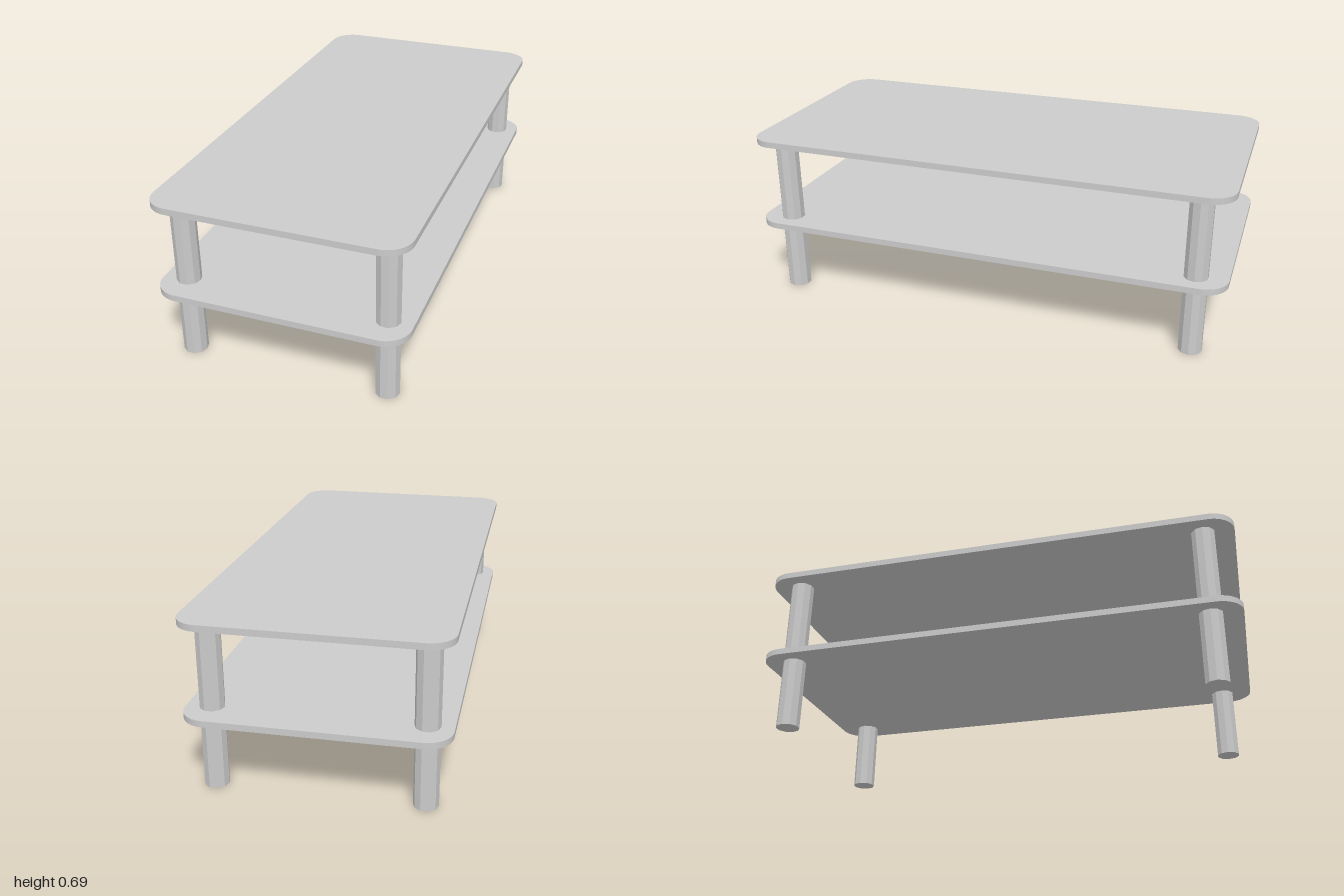
import * as THREE from 'three';

const material = new THREE.MeshStandardMaterial({ color: 0xcccccc, flatShading: true });

// Thin horizontal board with rounded corners, resting at height y
function createBoard(name, y) {
  const w = 0.497, d = 1, r = 0.1, thickness = 0.025;
  const shape = new THREE.Shape();
  shape.absarc(w - r, d - r, r, 0, Math.PI / 2);
  shape.absarc(-w + r, d - r, r, Math.PI / 2, Math.PI);
  shape.absarc(-w + r, -d + r, r, Math.PI, Math.PI * 1.5);
  shape.absarc(w - r, -d + r, r, Math.PI * 1.5, Math.PI * 2);
  shape.closePath();
  const geometry = new THREE.ExtrudeGeometry(shape, { depth: thickness, bevelEnabled: false, curveSegments: 10 });
  geometry.rotateX(-Math.PI / 2);
  const board = new THREE.Mesh(geometry, material);
  board.name = name;
  board.position.y = y;
  return board;
}

export function createModel() {
  const table = new THREE.Group();
  table.name = 'coffeeTable';
  table.add(createBoard('tableTop', 0.665), createBoard('lowerShelf', 0.297));

  // Ten-sided legs running from the floor through the shelf to the top
  const height = 0.665;
  const legGeometry = new THREE.CylinderGeometry(0.048, 0.048, height, 10, 1, false, Math.PI / 2);
  for (const [zName, z] of [['front', 0.875], ['back', -0.875]]) {
    for (const [xName, x] of [['Left', 0.4], ['Right', -0.4]]) {
      const leg = new THREE.Mesh(legGeometry, material);
      leg.name = `${zName}${xName}Leg`;
      leg.position.set(x, height / 2, z);
      table.add(leg);
    }
  }
  return table;
}
